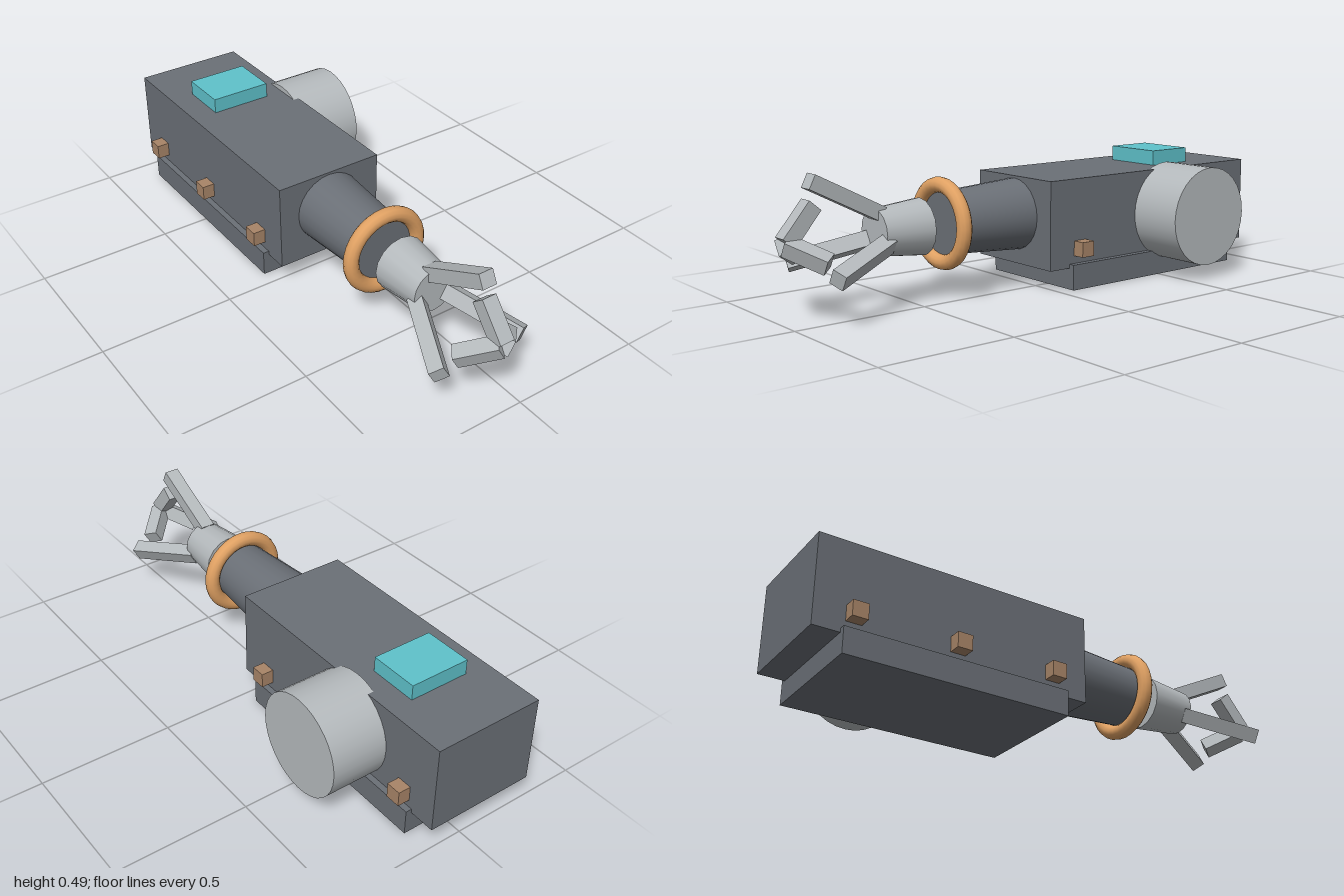
import * as THREE from 'three';

const material = (name, color) => {
  const m = new THREE.MeshStandardMaterial({ color });
  m.name = name;
  return m;
};

export function createModel() {
  const model = new THREE.Group();
  model.name = 'gripperDevice';
  const darkGrey = material('dark grey', 0x6b7077);
  const silver = material('silver', 0xb5babd);
  const copper = material('copper', 0xe0a163);
  const brown = material('brown', 0xa88568);
  const teal = material('teal', 0x5fc2cb);

  const add = (name, geometry, mat, x, y, z, parent = model) => {
    const mesh = new THREE.Mesh(geometry, mat);
    mesh.name = name;
    mesh.position.set(x, y, z);
    parent.add(mesh);
    return mesh;
  };
  const box = (name, w, h, d, mat, x, y, z, parent) =>
    add(name, new THREE.BoxGeometry(w, h, d), mat, x, y, z, parent);

  // Shared axis of the barrel, ring and claw
  const cx = -0.083, cy = 0.267;

  // Housing, base and top panel
  box('body', 0.422, 0.33, 1.034, darkGrey, cx, 0.245, -0.483);
  box('base', 0.468, 0.095, 0.845, darkGrey, cx, 0.0475, -0.48);
  box('topPanel', 0.234, 0.067, 0.187, teal, cx, 0.4335, -0.671);

  // Side drum
  add('sideDrum', new THREE.CylinderGeometry(0.187, 0.187, 0.235, 32), silver, 0.2225, 0.244, -0.576)
    .rotation.z = -Math.PI / 2;

  // Small cubes along both sides
  for (const side of [-1, 1]) {
    for (const z of [-0.108, -0.484, -0.86]) {
      box('sideStud', 0.056, 0.056, 0.056, brown, cx + side * 0.23, 0.152, z);
    }
  }

  // Tapered barrel with a ring at its mouth
  add('barrel', new THREE.CylinderGeometry(0.113, 0.136, 0.355, 24), darkGrey, cx, cy, 0.1875)
    .rotation.x = Math.PI / 2;
  add('ring', new THREE.TorusGeometry(0.14, 0.028, 12, 32), copper, cx, cy, 0.366);

  // Claw hub, floating ahead of the barrel
  add('clawHub', new THREE.CylinderGeometry(0.084, 0.103, 0.186, 16), silver, cx, cy, 0.55)
    .rotation.x = Math.PI / 2;

  // Three fingers, each with an arm leaning out and a tip leaning in
  for (let i = 0; i < 3; i++) {
    const finger = new THREE.Group();
    finger.name = 'finger';
    finger.position.set(cx, cy, 0);
    finger.rotation.z = (i * Math.PI * 2) / 3;
    box('fingerArm', 0.056, 0.053, 0.3, silver, 0, 0.132, 0.755, finger).rotation.x = -0.471;
    box('fingerTip', 0.056, 0.056, 0.153, silver, 0, 0.064, 0.929, finger).rotation.x = 0.87;
    model.add(finger);
  }
  return model;
}
